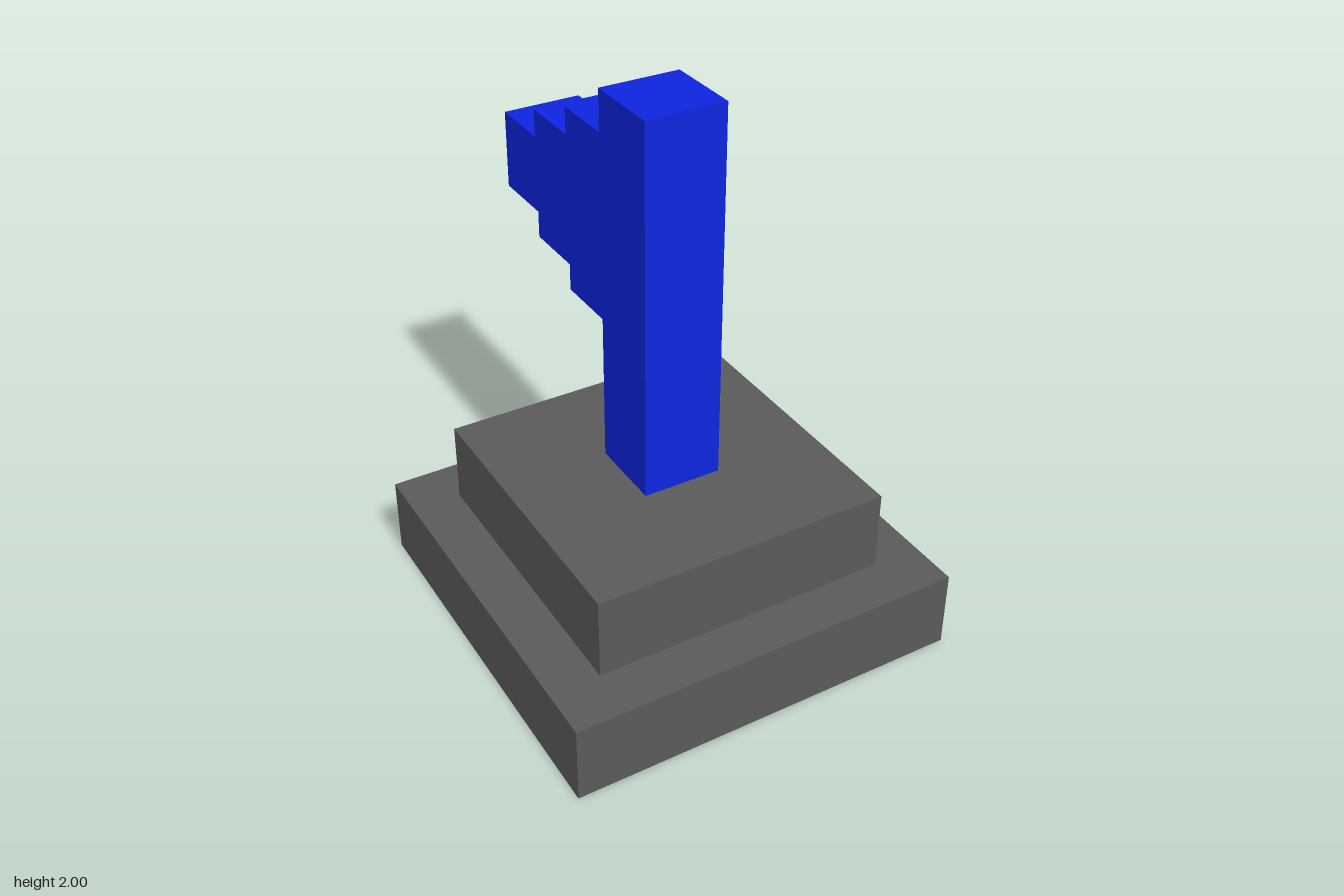
import * as THREE from 'three';

export function createModel() {
  const model = new THREE.Group();
  const grey = new THREE.MeshStandardMaterial({ color: 0x5a5a5a });
  const blue = new THREE.MeshStandardMaterial({ color: 0x0d25dd });

  // Two square slabs stacked as a stepped base
  const slab = (name, size, y0, y1) => {
    const mesh = new THREE.Mesh(new THREE.BoxGeometry(size, y1 - y0, size), grey);
    mesh.name = name;
    mesh.position.set(0, (y0 + y1) / 2, 0.055);
    model.add(mesh);
  };
  slab('lowerBase', 1.48, 0, 0.295);
  slab('upperBase', 1.11, 0.295, 0.6);

  // Post with a stepped flag: side silhouette as [distance to the back, height]
  const flagMiddle = 1.505;
  const steps = [[-0.09, 0.345], [-0.325, 0.245], [-0.56, 0.145]]; // start z, half height
  const ends = [0.325, 0.56, 0.8];
  const lower = [], upper = [];
  steps.forEach(([z, half], i) => {
    lower.push([-z, flagMiddle - half], [ends[i], flagMiddle - half]);
    upper.push([-z, flagMiddle + half], [ends[i], flagMiddle + half]);
  });
  const outline = [[-0.2, 0.6], [0.09, 0.6], ...lower, ...upper.reverse(), [0.09, 2], [-0.2, 2]];
  const shape = new THREE.Shape(outline.map(([u, y]) => new THREE.Vector2(u, y)));

  const width = 0.295;
  const geometry = new THREE.ExtrudeGeometry(shape, { depth: width, bevelEnabled: false });
  geometry.translate(0, 0, -width / 2).rotateY(Math.PI / 2);
  const post = new THREE.Mesh(geometry, blue);
  post.name = 'postWithSteppedFlag';
  model.add(post);

  return model;
}
